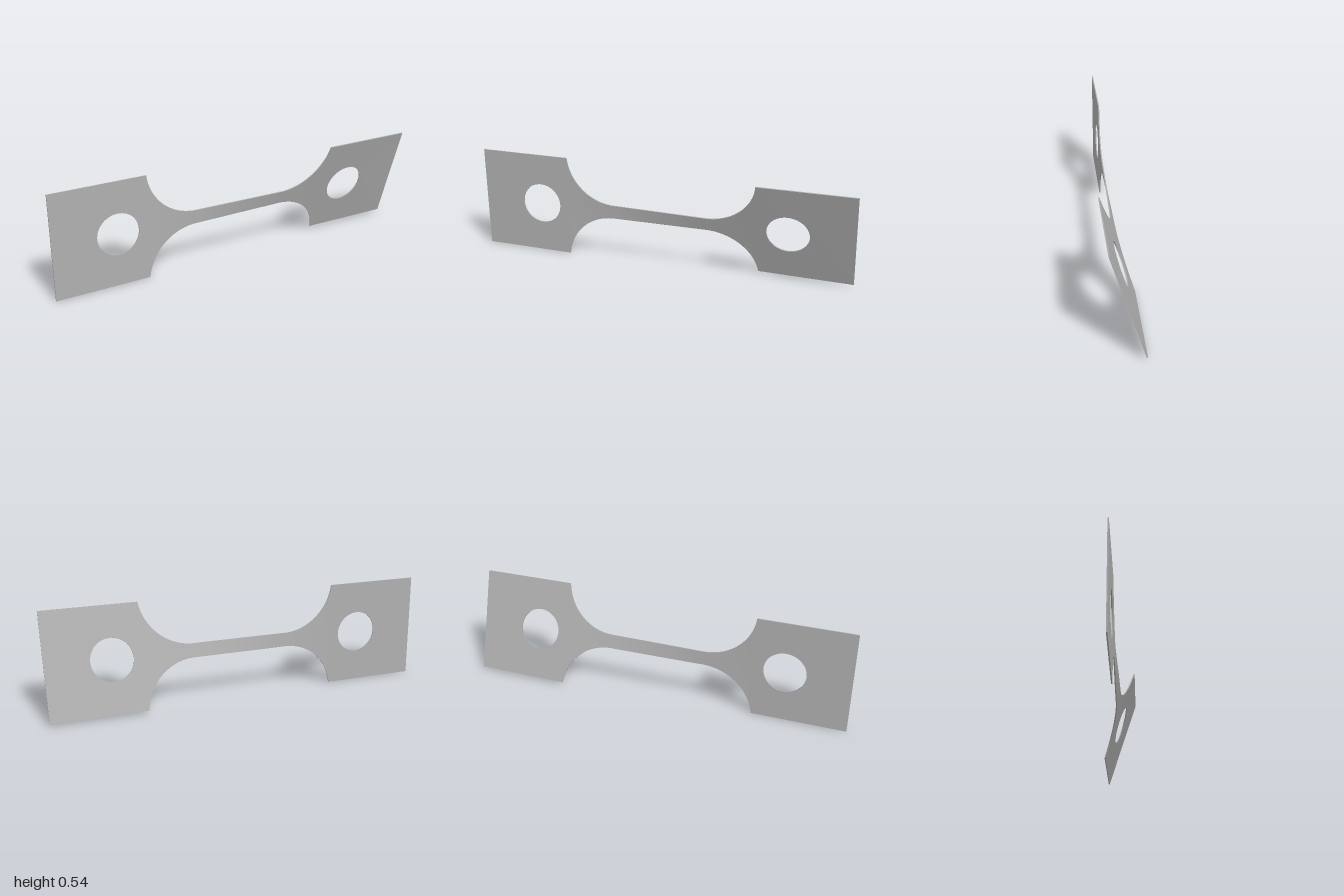
import * as THREE from 'three';

const HALF_H = 0.271;      // half height of the grip plates
const NECK_H = 0.036;      // half height of the narrow neck
const NECK_X = 0.25;       // where the fillets begin
const R = 0.265;           // fillet radius
const T = 0.006;           // sheet thickness
const SWEEP = Math.acos((R + NECK_H - HALF_H) / R);
const GRIP_X = NECK_X + R * Math.sin(SWEEP);

// Twist of the sheet along x, in degrees
const TWIST = [[-1, 0.4], [-0.5, 0.5], [-0.25, 3.5], [0, 11], [0.25, 17], [0.5, 18.1], [1, 17.6]];
function twistAt(x) {
  for (let i = 1; i < TWIST.length; i++) {
    const [x0, a0] = TWIST[i - 1], [x1, a1] = TWIST[i];
    if (x <= x1 || i === TWIST.length - 1) {
      return THREE.MathUtils.degToRad(a0 + (a1 - a0) * (x - x0) / (x1 - x0));
    }
  }
}

// Turn every vertex about the long axis, then lift the sheet onto the ground
function twist(geometry) {
  const p = geometry.attributes.position;
  for (let i = 0; i < p.count; i++) {
    const x = p.getX(i), y = p.getY(i), z = p.getZ(i), a = twistAt(x);
    p.setXYZ(i, x, y * Math.cos(a) - z * Math.sin(a) + HALF_H, y * Math.sin(a) + z * Math.cos(a));
  }
  geometry.computeVertexNormals();
  return geometry;
}

// Square grip plate with a round hole; side is -1 or 1
function gripGeometry(side) {
  const x0 = side > 0 ? GRIP_X : -1, x1 = side > 0 ? 1 : -GRIP_X;
  const shape = new THREE.Shape();
  shape.moveTo(x0, -HALF_H);
  shape.lineTo(x1, -HALF_H);
  shape.lineTo(x1, HALF_H);
  shape.lineTo(x0, HALF_H);
  shape.closePath();
  const hole = new THREE.Path();
  hole.absarc(side * 0.669, 0, 0.108, 0, Math.PI * 2, true);
  shape.holes.push(hole);
  const g = new THREE.ExtrudeGeometry(shape, { depth: T, bevelEnabled: false, curveSegments: 32 });
  g.translate(0, 0, -T / 2);
  return twist(g);
}

// Narrow neck that flares through circular fillets to the grips
function neckGeometry() {
  const g = new THREE.BoxGeometry(2, 2, T, 80, 6, 1);
  const p = g.attributes.position;
  for (let i = 0; i < p.count; i++) {
    const u = p.getX(i), s = Math.sign(u), m = Math.abs(u);
    let x = NECK_X * m / 0.4, h = NECK_H;
    if (m > 0.4) {
      const a = SWEEP * (m - 0.4) / 0.6;
      x = NECK_X + R * Math.sin(a);
      h = NECK_H + R * (1 - Math.cos(a));
    }
    p.setX(i, s * x);
    p.setY(i, p.getY(i) * h);
  }
  return twist(g);
}

export function createModel() {
  const metal = new THREE.MeshStandardMaterial({ color: 0xb0b0b0 });
  metal.name = 'grey metal';
  const group = new THREE.Group();
  group.name = 'twistedTestStrip';
  const add = (name, geometry) => {
    const mesh = new THREE.Mesh(geometry, metal);
    mesh.name = name;
    group.add(mesh);
  };
  add('rightGrip', gripGeometry(-1));
  add('neck', neckGeometry());
  add('leftGrip', gripGeometry(1));
  return group;
}
